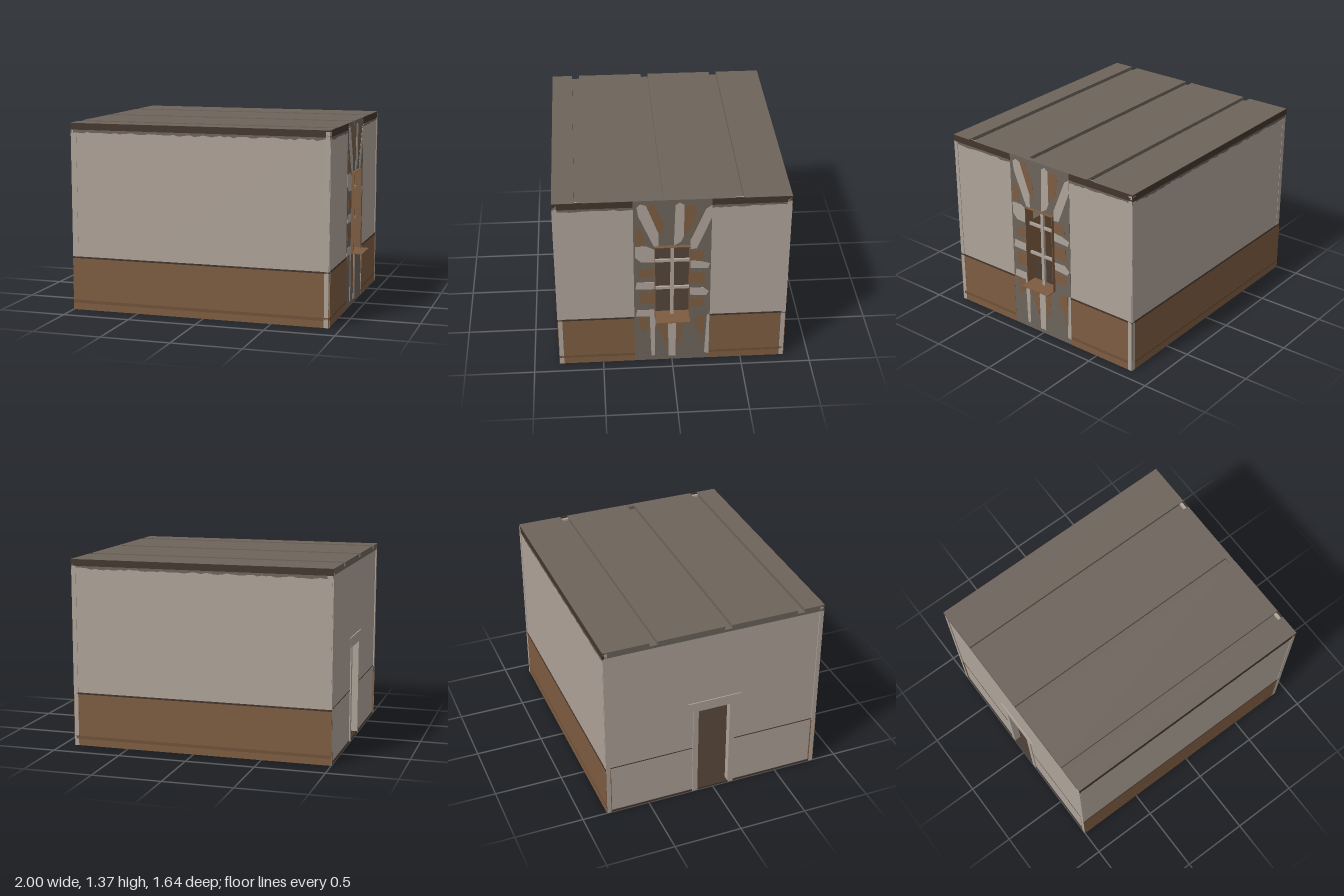
import * as THREE from 'three';

const mat = (name, color) => Object.assign(new THREE.MeshStandardMaterial({ color }), { name });

export function createModel() {
  const plaster = mat('plaster', 0xaea399);
  const wood = mat('wood', 0x7d5c41);
  const darkWood = mat('darkWood', 0x6e5139);
  const roofGrey = mat('roofGrey', 0x6d645b);
  const trim = mat('trim', 0x43352c);
  const H = 1.37, X0 = -1, X1 = 0.915, Z = 0.82;
  const midX = (X0 + X1) / 2, lenX = X1 - X0;
  const model = new THREE.Group();
  model.name = 'room';

  // Box given by its lower and upper limits on each axis
  function box(parent, name, m, x0, x1, y0, y1, z0, z1) {
    const mesh = new THREE.Mesh(new THREE.BoxGeometry(x1 - x0, y1 - y0, z1 - z0), m);
    mesh.position.set((x0 + x1) / 2, (y0 + y1) / 2, (z0 + z1) / 2);
    mesh.name = name;
    parent.add(mesh);
    return mesh;
  }
  const shapeOf = pts => new THREE.Shape(pts.map(p => new THREE.Vector2(p[0], p[1])));
  const rect = (a, b, c, d) => [[a, c], [b, c], [b, d], [a, d]];
  function plate(parent, name, m, shape, depth, z) {
    const mesh = new THREE.Mesh(
      new THREE.ExtrudeGeometry(shape, { depth, bevelEnabled: false, curveSegments: 6 }), m);
    mesh.position.z = z;
    mesh.name = name;
    parent.add(mesh);
    return mesh;
  }

  // Banded wall facing local +z with its outer face at z = 0
  function bandedWall(name, w, seed) {
    const g = new THREE.Group();
    g.name = name;
    const h = w / 2;
    let s = seed;
    const rnd = () => (s = (s * 16807) % 2147483647) / 2147483647;
    box(g, 'plasterWall', plaster, -h, h, 0, H - 0.01, -0.035, -0.004);
    box(g, 'wainscot', wood, -h, h, 0, 0.385, -0.004, -0.001);
    box(g, 'innerWainscot', wood, -h, h, 0.01, 0.385, -0.04, -0.035);
    box(g, 'skirtingLine', darkWood, -h, h, 0.05, 0.072, -0.001, 0);
    box(g, 'wainscotCap', trim, -h, h, 0.383, 0.395, -0.004, 0);
    box(g, 'cornice', trim, -h, h, 1.322, H, -0.012, 0);
    // Ragged lower edge of the cornice
    const n = Math.round(w * 32), pts = [[h, 1.325], [-h, 1.325]];
    for (let i = 0; i <= n; i++) pts.push([-h + w * i / n, 1.296 + rnd() * 0.014]);
    plate(g, 'raggedEdge', roofGrey, shapeOf(pts), 0.002, -0.004);
    model.add(g);
    return g;
  }
  const front = bandedWall('frontWall', lenX, 11);
  front.position.set(midX, 0, Z);
  const back = bandedWall('backWall', lenX, 37);
  back.position.set(midX, 0, -Z);
  back.rotation.y = Math.PI;
  for (const side of [1, -1]) {
    const part = bandedWall('windowWallSide', 0.55, 50 + side);
    part.position.set(X1, 0, side * 0.545);
    part.rotation.y = Math.PI / 2;
  }

  // Tall window panel: local x runs towards -z
  const bay = new THREE.Group();
  bay.name = 'windowBay';
  bay.position.x = X1;
  bay.rotation.y = Math.PI / 2;
  model.add(bay);
  const panel = shapeOf(rect(-0.27, 0.27, 0, H));
  panel.holes.push(new THREE.Path(rect(-0.125, 0.125, 0.395, 1).map(p => new THREE.Vector2(...p))));
  plate(bay, 'windowPanel', roofGrey, panel, 0.038, -0.04);

  // Pale rays and stones around the window
  const pale = [
    [[-0.13, 1], [-0.095, 1], [-0.095, 1.1], [-0.18, 1.33], [-0.22, 1.345], [-0.245, 1.32], [-0.235, 1.25]],
    [[0.01, 1], [0.06, 1.03], [0.08, 1.08], [0.08, 1.33], [0.05, 1.35], [0.02, 1.33]],
    [[0.125, 0.965], [0.17, 0.97], [0.27, 1.22], [0.27, 1.32], [0.23, 1.29], [0.125, 1.04]],
    [[-0.125, 0.865], [-0.125, 0.97], [-0.18, 1], [-0.26, 1], [-0.26, 0.91], [-0.22, 0.87]],
    [[-0.125, 0.635], [-0.125, 0.695], [-0.25, 0.7], [-0.26, 0.64]],
    [[-0.125, 0.395], [-0.125, 0.455], [-0.25, 0.455], [-0.26, 0.4]],
    [[0.125, 0.805], [0.25, 0.8], [0.265, 0.84], [0.2, 0.86], [0.125, 0.87]],
    [[0.125, 0.575], [0.24, 0.565], [0.26, 0.6], [0.22, 0.635], [0.125, 0.635]],
    [[-0.15, 0.04], [-0.125, 0.04], [-0.12, 0.395], [-0.16, 0.395]],
    [[-0.025, 0.03], [0.025, 0.03], [0.03, 0.395], [-0.03, 0.395]],
    [[0.235, 0.05], [0.268, 0.04], [0.268, 0.395], [0.25, 0.395]],
  ];
  pale.forEach(p => plate(bay, 'paleStone', plaster, shapeOf(p), 0.0015, -0.002));

  // Brown patches between the stones
  const patches = [
    [[-0.18, 1.33], [-0.13, 1.34], [-0.06, 1.18], [-0.07, 1.08], [-0.11, 1.14]],
    [[0.082, 1.32], [0.16, 1.33], [0.165, 1.23], [0.13, 1.14], [0.082, 1.08]],
    [[-0.26, 1.02], [-0.19, 1.02], [-0.2, 1.12], [-0.25, 1.16]],
    [[0.18, 1.1], [0.14, 1.02], [0.126, 1.05], [0.16, 1.16]],
    rect(-0.23, -0.127, 0.74, 0.81), rect(-0.23, -0.127, 0.51, 0.61),
    rect(0.127, 0.22, 0.88, 0.95), rect(0.127, 0.23, 0.67, 0.77), rect(0.127, 0.23, 0.47, 0.55),
    [[-0.24, 0.39], [-0.17, 0.39], [-0.17, 0.3], [-0.2, 0.26], [-0.23, 0.3]],
    [[-0.11, 0.39], [-0.033, 0.39], [-0.035, 0.08], [-0.06, 0.2], [-0.1, 0.28]],
    [[0.033, 0.39], [0.085, 0.39], [0.07, 0.2], [0.035, 0.1]],
    [[0.16, 0.39], [0.235, 0.39], [0.23, 0.13], [0.2, 0.25], [0.165, 0.28]],
  ];
  patches.forEach(p => plate(bay, 'brownPatch', wood, shapeOf(p), 0.001, -0.002));

  // Window reveal, projecting sill and glazing bars
  for (const s of [-1, 1]) {
    box(bay, 'windowJamb', wood, s * 0.123 - 0.002, s * 0.123 + 0.002, 0.395, 1, -0.06, 0.021);
  }
  box(bay, 'windowHead', wood, -0.125, 0.125, 0.996, 1, -0.06, 0.021);
  box(bay, 'windowSill', wood, -0.123, 0.123, 0.393, 0.398, -0.06, 0.085);
  box(bay, 'verticalBar', plaster, -0.012, 0.012, 0.397, 0.997, -0.035, -0.015);
  for (const y of [0.63, 0.862]) {
    box(bay, 'crossBar', plaster, -0.122, 0.122, y - 0.01, y + 0.01, -0.033, -0.017);
  }

  // Door wall: local x runs towards +z, facing -x
  const doorWall = new THREE.Group();
  doorWall.name = 'doorWall';
  doorWall.position.x = X0;
  doorWall.rotation.y = -Math.PI / 2;
  model.add(doorWall);
  const d = 0.125, top = 0.72, e = Z - 0.002;
  plate(doorWall, 'doorWallPlaster', plaster, shapeOf([
    [-e, 0], [-d, 0], [-d, top], [d, top], [d, 0], [e, 0], [e, 1.335], [-e, 1.335]]), 0.035, -0.043);
  for (const s of [-1, 1]) {
    const [a, b] = s < 0 ? [-e, -0.16] : [0.16, e];
    box(doorWall, 'dadoLine', trim, a, b, 0.388, 0.394, -0.008, -0.006);
    box(doorWall, 'innerWainscot', wood, a, b, 0.01, 0.385, -0.047, -0.043);
    const [p, q] = s < 0 ? [-0.16, -0.12] : [0.12, 0.16];
    box(doorWall, 'doorPost', plaster, p, q, 0, top, -0.05, 0);
  }
  plate(doorWall, 'doorLintel', plaster, shapeOf([
    [-0.16, top - 0.01], [0.16, top - 0.01], [0.2, 0.785], [-0.2, 0.785]]), 0.05, -0.05);

  // Floor
  box(model, 'floor', trim, X0 + 0.002, X1 - 0.003, 0, 0.012, -Z + 0.002, Z - 0.002);

  // Roof slabs separated by three long grooves
  box(model, 'roofBase', roofGrey, X0, X1 - 0.012, 1.325, 1.345, -Z + 0.004, Z - 0.004);
  const edges = [-Z + 0.001, -0.487, -0.43, 0.062, 0.117, 0.61, 0.665, Z - 0.001];
  for (let i = 0; i < edges.length; i += 2) {
    box(model, 'roofSlab', roofGrey, X0, X1 - 0.001, 1.34, H + 0.001, edges[i], edges[i + 1]);
  }
  return model;
}
